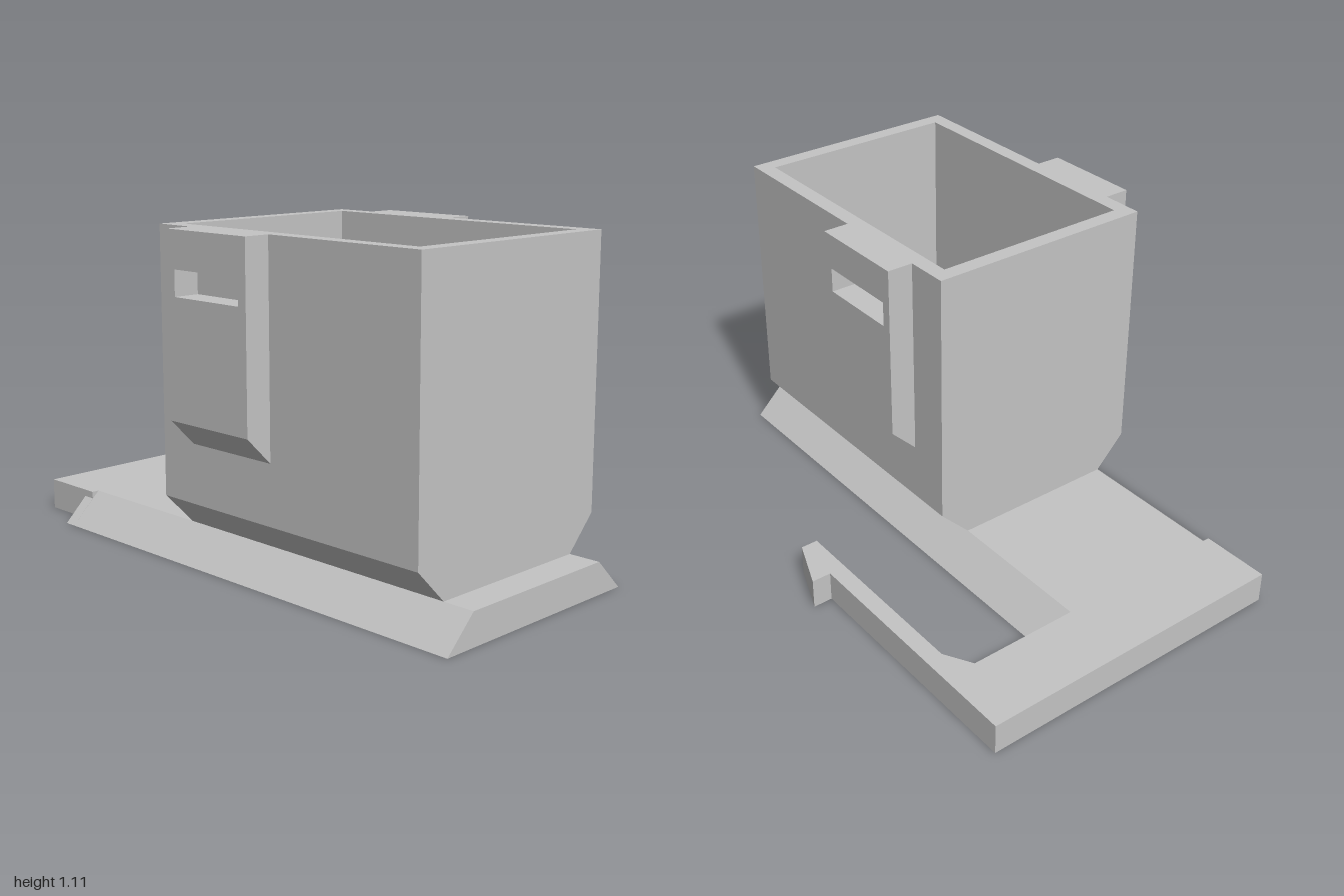
import * as THREE from 'three';

const grey = new THREE.MeshStandardMaterial({ color: 0xc4c4c4 });
grey.name = 'light grey plastic';

// Main levels and the front/back limits of the housing
const BASE_TOP = 0.108, TAPER_TOP = 0.22, TOP = 1.113;
const BACK = -0.225, FRONT = 0.597, INSET = 0.11;
const MID_Z = (BACK + FRONT) / 2;
const HOLE = { x: 0.395, z: 0.182, r: 0.125 };

const polygon = (points) => new THREE.Shape(points.map(([x, y]) => new THREE.Vector2(x, y)));
const rect = (x0, x1, y0, y1) => polygon([[x0, y0], [x1, y0], [x1, y1], [x0, y1]]);

function extrude(shape, depth) {
  return new THREE.ExtrudeGeometry(shape, { depth, bevelEnabled: false, curveSegments: 32 });
}

// Extrudes a plan drawn in x and z between two heights
function slab(shape, y0, y1) {
  return extrude(shape, y1 - y0).rotateX(Math.PI / 2).translate(0, y1, 0);
}

// Moves vertices by a rule and rebuilds the face normals
function reshape(geometry, rule) {
  const pos = geometry.attributes.position;
  const v = new THREE.Vector3();
  for (let i = 0; i < pos.count; i++) {
    v.fromBufferAttribute(pos, i);
    rule(v);
    pos.setXYZ(i, v.x, v.y, v.z);
  }
  geometry.computeVertexNormals();
  return geometry;
}

// Block with a drain hole whose front and back slope inward at one height
function taperedBlock(x0, x1, y0, y1, narrowY) {
  const shape = rect(x0, x1, BACK, FRONT);
  shape.holes.push(new THREE.Path().absarc(HOLE.x, HOLE.z, HOLE.r, 0, Math.PI * 2, true));
  return reshape(slab(shape, y0, y1), (v) => {
    if (Math.abs(v.y - narrowY) > 1e-4) return;
    if (Math.abs(v.z - BACK) < 1e-4) v.z += INSET;
    if (Math.abs(v.z - FRONT) < 1e-4) v.z -= INSET;
  });
}

export function createModel() {
  const model = new THREE.Group();
  model.name = 'slideInHolder';
  const add = (name, geometry) => {
    const mesh = new THREE.Mesh(geometry, grey);
    mesh.name = name;
    model.add(mesh);
    return mesh;
  };

  // Sliding base with dovetail edges
  add('dovetailBase', taperedBlock(-0.755, 1, 0, BASE_TOP, BASE_TOP));

  // Short end of the front dovetail that overlaps the end plate
  const wedge = polygon([[-FRONT, 0], [-0.513, 0], [-0.513, 0.084]]);
  add('dovetailEnd', extrude(wedge, 0.045).rotateY(Math.PI / 2).translate(-0.8, 0, 0));

  // End plate with the spring arm and its barbed tip
  add('endPlateAndLatchArm', slab(polygon([
    [-1, 0.513], [-0.755, 0.513], [-0.755, -0.505], [-0.66, -0.56],
    [0.05, -0.56], [0.05, -0.62], [-0.125, -0.688], [-0.125, -0.62], [-1, -0.62],
  ]), 0, BASE_TOP));

  // Housing floor, flaring out to the walls
  add('housingFloor', taperedBlock(-0.22, 0.89, BASE_TOP, TAPER_TOP, BASE_TOP));

  // Open-topped housing walls
  const walls = rect(-0.22, 0.89, BACK, FRONT);
  walls.holes.push(rect(-0.165, 0.835, BACK + 0.055, FRONT - 0.055));
  add('housingWalls', slab(walls, TAPER_TOP, TOP));

  // Slotted lugs on the front and back, with a sloped underside
  for (const [name, side] of [['frontLug', 1], ['backLug', -1]]) {
    const face = rect(-0.18, 0.18, 0.42, TOP);
    face.holes.push(rect(-0.147, 0.147, 0.905, 0.99));
    const lug = add(name, reshape(extrude(face, 0.091), (v) => {
      if (v.z > 0.05 && v.y < 0.43) v.y += 0.091;
    }));
    lug.rotation.y = side > 0 ? 0 : Math.PI;
    lug.position.set(0.11, 0, MID_Z + side * (FRONT - MID_Z));
  }

  return model;
}
